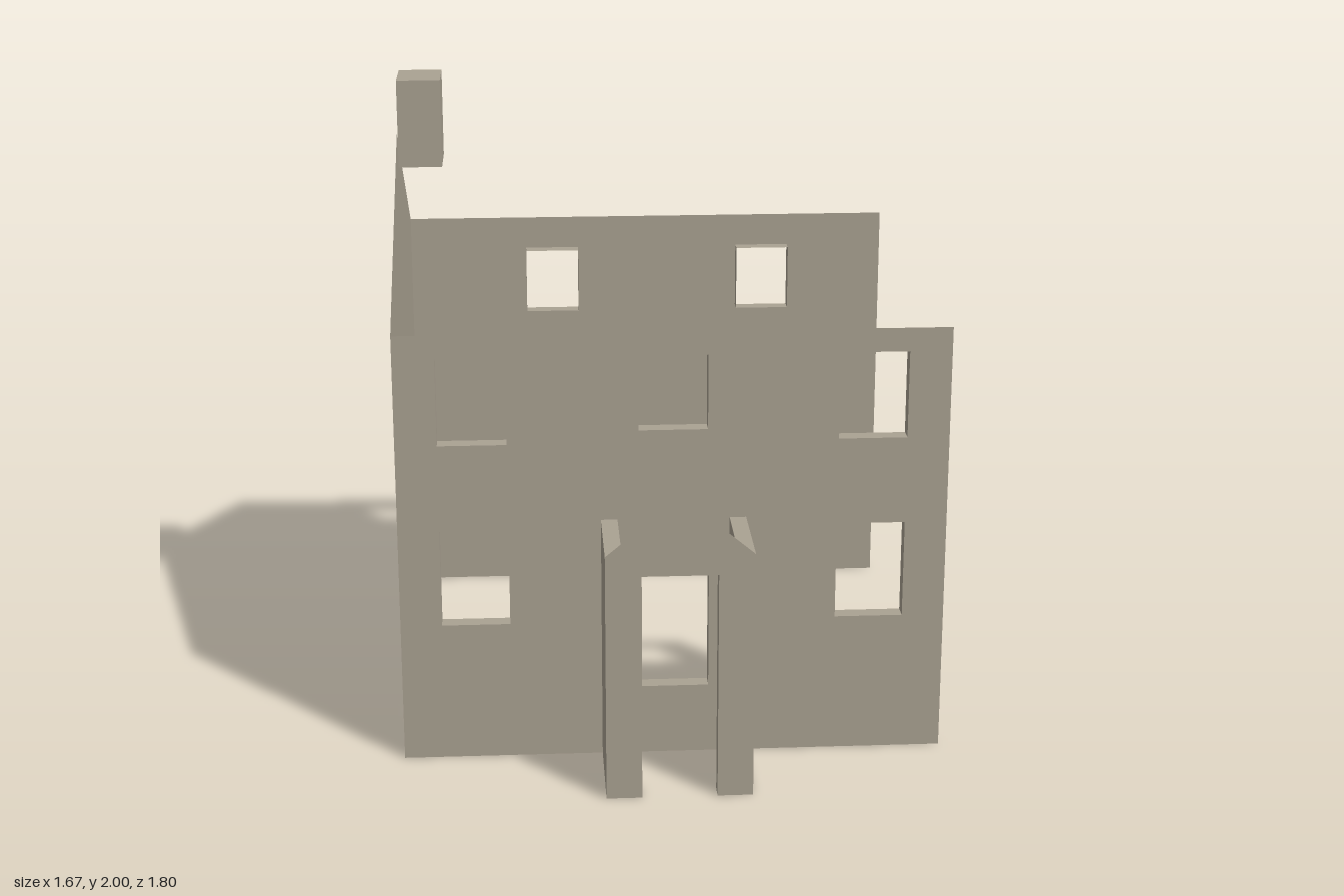
import * as THREE from 'three';

const stone = new THREE.MeshStandardMaterial({ color: 0xaaa292, side: THREE.DoubleSide });
stone.name = 'stone';

function mesh(name, geometry, parent) {
  const m = new THREE.Mesh(geometry, stone);
  m.name = name;
  parent.add(m);
  return m;
}

const polygon = (points) => new THREE.Shape(points.map(([x, y]) => new THREE.Vector2(x, y)));
const corners = ([x0, x1, y0, y1]) => [[x0, y0], [x1, y0], [x1, y1], [x0, y1]];

// Four flat faces lining an opening between two depths
function revealGeometry(opening, z0, z1) {
  const pts = corners(opening);
  const pos = [];
  pts.forEach(([ax, ay], i) => {
    const [bx, by] = pts[(i + 1) % 4];
    pos.push(ax, ay, z0, bx, by, z1, bx, by, z0, ax, ay, z0, ax, ay, z1, bx, by, z1);
  });
  const g = new THREE.BufferGeometry();
  g.setAttribute('position', new THREE.Float32BufferAttribute(pos, 3));
  g.computeVertexNormals();
  return g;
}

// Thin wall pierced by openings, each with a reveal going inward
function piercedWall(name, openings, z, inward) {
  const wall = new THREE.Group();
  wall.name = name;
  const shape = polygon(corners([-0.833, 0.833, 0, 1.36]));
  for (const o of openings) shape.holes.push(polygon(corners(o).reverse()));
  mesh(name + 'Face', new THREE.ShapeGeometry(shape), wall).position.z = z;
  for (const o of openings) mesh('openingReveal', revealGeometry(o, z, z + inward), wall);
  return wall;
}

export function createModel() {
  const house = new THREE.Group();
  house.name = 'houseShell';

  // Front wall: two columns of windows, a middle window and the doorway
  const front = [[-0.106, 0.103, 1.055, 1.287], [-0.11, 0.108, 0.222, 0.685]];
  for (const [x0, x1] of [[-0.707, -0.499], [0.497, 0.705]]) {
    front.push([x0, x1, 1.017, 1.287], [x0, x1, 0.44, 0.745]);
  }
  house.add(piercedWall('frontWall', front, 0.59, -0.05));

  // Back wall: three windows and a door
  house.add(piercedWall('backWall', [
    [0.317, 0.5, 1.03, 1.25],
    [-0.428, -0.245, 1.03, 1.25],
    [0.309, 0.508, 0.45, 0.694],
    [-0.437, -0.238, 0.228, 0.694],
  ], -0.9, 0.05));

  // Gable end
  const gable = polygon([[-0.9, 0], [0.59, 0], [0.59, 1.36], [-0.155, 1.812], [-0.9, 1.36]]);
  mesh('gableWall', new THREE.ShapeGeometry(gable).rotateY(-Math.PI / 2), house).position.x = -0.833;

  // Chimney
  mesh('chimney', new THREE.BoxGeometry(0.136, 0.274, 0.2), house).position.set(-0.757, 1.863, -0.153);

  // Porch: side walls, front frame with doorway, open gable faces
  const porch = new THREE.Group();
  porch.name = 'porch';
  house.add(porch);
  for (const s of [-1, 1]) {
    mesh('porchSide', new THREE.BoxGeometry(0.05, 0.773, 0.26), porch).position.set(s * 0.195, 0.3865, 0.72);
  }
  const frame = polygon([[-0.22, 0], [-0.113, 0], [-0.113, 0.71], [0.113, 0.71], [0.113, 0],
    [0.22, 0], [0.22, 0.773], [-0.22, 0.773]]);
  mesh('porchFront', new THREE.ExtrudeGeometry(frame, { depth: 0.05, bevelEnabled: false }), porch).position.z = 0.85;
  for (const [half, top, z] of [[0.22, 0.957, 0.9], [0.17, 0.92, 0.85]]) {
    const peak = polygon([[-half, 0.773], [half, 0.773], [0, top]]);
    mesh('porchGable', new THREE.ShapeGeometry(peak), porch).position.z = z;
  }

  return house;
}
